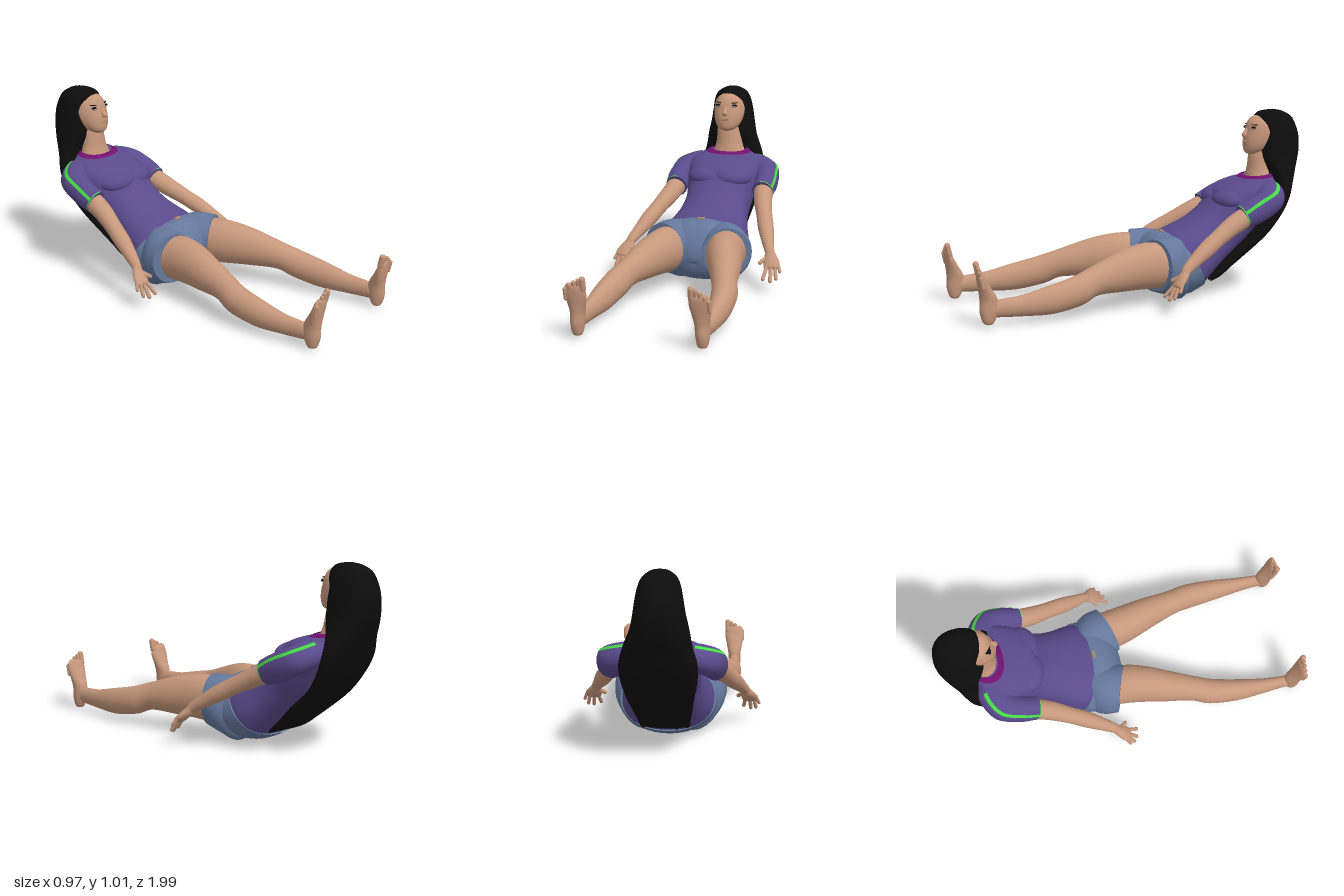
import * as THREE from 'three';

const V = (x, y, z) => new THREE.Vector3(x, y, z);
const mat = (name, color) => new THREE.MeshStandardMaterial({ name, color, side: THREE.DoubleSide });

// A ring is a centre c with two half-axes u and v.
// band: ring across the body between a front and a back point, given as [z, y]
const band = (a, F, B, x = 0) => ({
  c: V(x, (F[1] + B[1]) / 2, (F[0] + B[0]) / 2),
  u: V(a, 0, 0),
  v: V(0, (F[1] - B[1]) / 2, (F[0] - B[0]) / 2),
});

// limb: rings square to a path of [x, y, z, half-width, half-depth]; s mirrors it
function limb(pts, s = 1, ref = V(1, 0, 0)) {
  const P = pts.map(p => V(p[0] * s, p[1], p[2]));
  return pts.map((p, i) => {
    const T = P[Math.min(i + 1, P.length - 1)].clone().sub(P[Math.max(i - 1, 0)]).normalize();
    const u = ref.clone().addScaledVector(T, -ref.dot(T)).normalize();
    const v = T.clone().cross(u);
    return { c: P[i], u: u.multiplyScalar(p[3]), v: v.multiplyScalar(p[4] ?? p[3]) };
  });
}

// Smooth skin over rings; t and th select a patch, twist slants it, grow lifts it, n squares the section
function loft(rings, { t = [0, 1], th = null, twist = 0, grow = 1, n = 2, seg = 32, caps = true } = {}) {
  const curve = k => new THREE.CatmullRomCurve3(rings.map(r => r[k]), false, 'catmullrom', 0.5);
  const C = curve('c'), U = curve('u'), W = curve('v');
  const rows = Math.max(4, Math.round((rings.length - 1) * 6 * (t[1] - t[0])));
  const pw = q => Math.sign(q) * Math.abs(q) ** (2 / n);
  const [a0, a1] = th ?? [0, Math.PI * 2];
  const cols = th ? seg + 1 : seg;
  const pos = [], idx = [];
  const flip = U.getPoint(0.5).cross(W.getPoint(0.5)).dot(C.getPoint(0.55).sub(C.getPoint(0.45))) < 0;
  const tri = (a, b, c) => (flip ? idx.push(a, c, b) : idx.push(a, b, c));
  const addRow = q => {
    const c = C.getPoint(q), u = U.getPoint(q), v = W.getPoint(q);
    for (let j = 0; j < cols; j++) {
      const a = a0 + (a1 - a0) * j / seg + twist * q;
      const p = c.clone().addScaledVector(u, grow * pw(Math.cos(a))).addScaledVector(v, grow * pw(Math.sin(a)));
      pos.push(p.x, p.y, p.z);
    }
    return c;
  };
  for (let i = 0; i <= rows; i++) addRow(t[0] + (t[1] - t[0]) * i / rows);
  for (let i = 0; i < rows; i++) for (let j = 0; j < seg; j++) {
    const a = i * cols + j, b = i * cols + (j + 1) % cols;
    tri(a, b, b + cols);
    tri(a, b + cols, a + cols);
  }
  if (caps && !th) for (const e of [0, 1]) {
    const base = pos.length / 3, c = addRow(t[e]);
    pos.push(c.x, c.y, c.z);
    for (let j = 0; j < seg; j++) {
      const p = base + j, q = base + (j + 1) % seg;
      if (e) tri(base + seg, p, q); else tri(base + seg, q, p);
    }
  }
  const g = new THREE.BufferGeometry();
  g.setAttribute('position', new THREE.Float32BufferAttribute(pos, 3));
  g.setIndex(idx);
  g.computeVertexNormals();
  return g;
}

export function createModel() {
  const model = new THREE.Group();
  model.name = 'recliningWoman';
  const skin = mat('skin', 0xc6977b), hairM = mat('hair', 0x0d0d0d), shirtM = mat('shirt', 0x5a4a8c),
    collarM = mat('collar', 0x72106c), green = mat('trim', 0x44dc44), denim = mat('denim', 0x65789c),
    brass = mat('button', 0xa08468), eyeM = mat('eye', 0x7c8ca8), lipM = mat('lips', 0xb98a70);

  const add = (name, geo, m) => {
    const mesh = new THREE.Mesh(geo, m);
    mesh.name = name;
    model.add(mesh);
    return mesh;
  };
  const blob = (name, m, p, r) => {
    const b = add(name, new THREE.SphereGeometry(1, 32, 20), m);
    b.position.set(...p);
    b.scale.set(...r);
    return b;
  };
  const capsule = (name, m, p, q, r) => {
    const a = V(...p), d = V(...q).sub(a);
    const c = add(name, new THREE.CapsuleGeometry(r, d.length(), 6, 12), m);
    c.position.copy(a).addScaledVector(d, 0.5);
    c.quaternion.setFromUnitVectors(V(0, 1, 0), d.normalize());
  };

  // Shirt body and collar
  const neckline = band(0.13, [-0.648, 0.637], [-0.825, 0.65]);
  add('shirtBody', loft([
    band(0.243, [-0.14, 0.345], [-0.32, 0.04]), band(0.245, [-0.175, 0.362], [-0.36, 0.06]),
    band(0.235, [-0.23, 0.385], [-0.395, 0.095]),
    band(0.202, [-0.33, 0.43], [-0.48, 0.17]), band(0.187, [-0.41, 0.487], [-0.58, 0.25]),
    band(0.197, [-0.468, 0.545], [-0.67, 0.335]), band(0.205, [-0.495, 0.582], [-0.73, 0.41]),
    band(0.212, [-0.55, 0.608], [-0.785, 0.49]), band(0.2, [-0.61, 0.626], [-0.825, 0.58]), neckline,
  ], { n: 2.3, seg: 48 }), shirtM);
  add('collar', loft([neckline, band(0.116, [-0.664, 0.647], [-0.82, 0.662]),
    band(0.1, [-0.679, 0.65], [-0.815, 0.668])], { n: 2.2, grow: 1.02, caps: false }), collarM);

  // Shorts seat, waistband and button
  const seat = [
    band(0.254, [-0.172, 0.366], [-0.365, 0.055]), band(0.262, [-0.125, 0.362], [-0.28, 0.014]),
    band(0.26, [-0.08, 0.335], [-0.18, 0.016]), band(0.2, [-0.04, 0.285], [-0.09, 0.04]),
    band(0.12, [-0.018, 0.235], [-0.045, 0.075]), band(0.05, [-0.01, 0.19], [-0.025, 0.115]),
    band(0.01, [-0.01, 0.16], [-0.02, 0.145]),
  ];
  add('shortsSeat', loft(seat, { n: 2.1, seg: 48 }), denim);
  add('waistband', loft(seat, { n: 2.1, seg: 48, t: [0, 0.07], grow: 1.015, caps: false }), denim);
  const button = add('button', new THREE.BoxGeometry(0.04, 0.008, 0.02), brass);
  button.position.set(0, 0.368, -0.16);
  button.rotation.x = 0.25;

  for (const s of [1, -1]) {
    const side = s > 0 ? 'left' : 'right';
    blob(side + 'Bust', shirtM, [s * 0.072, 0.527, -0.54], [0.118, 0.06, 0.09]).rotation.y = s * 0.12;

    // Sleeve with shoulder stripe and cuff trim
    const sleeve = limb([[0.08, 0.568, -0.745, 0.068, 0.07], [0.17, 0.562, -0.735, 0.07, 0.085],
      [0.235, 0.535, -0.7, 0.075, 0.08], [0.26, 0.497, -0.62, 0.075, 0.068],
      [0.26, 0.457, -0.53, 0.068, 0.062]], s, V(0, 1, 0));
    add(side + 'Sleeve', loft(sleeve), shirtM);
    add(side + 'SleeveStripe', loft(sleeve,
      { t: [0.2, 1], th: [-s * 0.48, -s * 0.22], twist: -s * 0.75, grow: 1.035, seg: 6 }), green);
    add(side + 'CuffTrim', loft(sleeve, { t: [0.985, 1], th: [-s * 2, s * 0.2], grow: 1.015, seg: 20 }), green);

    // Arm and hand
    add(side + 'Arm', loft(limb([[0.258, 0.47, -0.57, 0.056], [0.28, 0.42, -0.46, 0.052],
      [0.313, 0.367, -0.36, 0.045], [0.345, 0.315, -0.27, 0.044], [0.375, 0.265, -0.19, 0.035],
      [0.4, 0.225, -0.13, 0.027], [0.412, 0.2, -0.108, 0.027, 0.02]], s)), skin);
    add(side + 'Palm', loft(limb([[0.395, 0.235, -0.14, 0.018, 0.017], [0.41, 0.2, -0.11, 0.032, 0.023],
      [0.425, 0.168, -0.078, 0.044, 0.02], [0.43, 0.148, -0.058, 0.041, 0.015],
      [0.431, 0.142, -0.053, 0.03, 0.007]], s)), skin);
    const fingers = [
      [[0.459, 0.172, -0.08], [0.477, 0.128, -0.058], 0.009], [[0.447, 0.157, -0.065], [0.461, 0.095, -0.032], 0.01],
      [[0.427, 0.15, -0.058], [0.433, 0.085, -0.014], 0.0105], [[0.405, 0.155, -0.06], [0.394, 0.095, -0.006], 0.01],
      [[0.395, 0.195, -0.1], [0.365, 0.168, -0.064], 0.011],
    ];
    for (const [p, q, r] of fingers)
      capsule(side + 'Finger', skin, [p[0] * s, p[1], p[2]], [q[0] * s, q[1], q[2]], r);

    // Shorts leg, flared at a slanted hem
    const hemRing = (x, y, z, ux, uz, vy) => ({ c: V(s * x, y, z), u: V(ux, 0, s * uz), v: V(0, vy, 0) });
    add(side + 'ShortsLeg', loft([hemRing(0.11, 0.165, -0.25, 0.09, 0, 0.12), hemRing(0.125, 0.178, -0.2, 0.13, -0.015, 0.168),
      hemRing(0.155, 0.2, -0.13, 0.138, -0.03, 0.158), hemRing(0.18, 0.215, -0.045, 0.125, -0.045, 0.14)]), denim);

    // Leg
    const sway = 0.01;
    add(side + 'Leg', loft(limb([[0.16, 0.21, -0.12, 0.105, 0.12], [0.172, 0.218, 0, 0.105, 0.125],
      [0.196, 0.215, 0.1, 0.097, 0.117], [0.226, 0.203, 0.2, 0.086, 0.102], [0.266, 0.178, 0.35, 0.068, 0.076],
      [0.295, 0.143, 0.45, 0.068, 0.078], [0.312, 0.114, 0.6, 0.058, 0.073], [0.318, 0.1, 0.75, 0.041, 0.054],
      [0.318, 0.098, 0.85, 0.032, 0.047], [0.318, 0.095, 0.92, 0.03, 0.04]], s)), skin).position.x = sway;

    // Foot standing on its heel, and toes
    add(side + 'Foot', loft(limb([[0.32, 0.019, 0.93, 0.008, 0.008], [0.32, 0.03, 0.93, 0.025, 0.027],
      [0.32, 0.08, 0.926, 0.035, 0.046], [0.318, 0.14, 0.926, 0.038, 0.046], [0.317, 0.19, 0.942, 0.047, 0.034],
      [0.316, 0.24, 0.958, 0.056, 0.024], [0.316, 0.277, 0.967, 0.052, 0.017],
      [0.314, 0.295, 0.97, 0.038, 0.008]], s)), skin).position.x = sway;
    for (let i = 0; i < 5; i++) {
      const x = s * (0.274 + i * 0.0225) + sway, tip = 0.322 - i * 0.004 - i * i * 0.0025;
      capsule(side + 'Toe', skin, [x, tip - 0.05, 0.965], [x, tip, 0.976], i ? 0.0105 : 0.0155);
    }
  }

  // Neck and head
  const hx = -0.008;
  add('neck', loft([band(0.095, [-0.682, 0.625], [-0.82, 0.645]), band(0.076, [-0.698, 0.69], [-0.83, 0.71], hx / 2),
    band(0.07, [-0.71, 0.77], [-0.85, 0.79], hx), band(0.068, [-0.74, 0.83], [-0.86, 0.83], hx)]), skin);
  add('head', loft([
    [0.766, 0.015, -0.705, -0.75], [0.773, 0.036, -0.688, -0.78], [0.79, 0.06, -0.675, -0.82], [0.82, 0.079, -0.672, -0.86],
    [0.86, 0.09, -0.675, -0.9], [0.9, 0.092, -0.685, -0.92], [0.94, 0.083, -0.695, -0.92], [0.97, 0.063, -0.715, -0.91],
    [0.986, 0.04, -0.75, -0.88], [0.993, 0.015, -0.8, -0.86],
  ].map(([y, a, f, b]) => band(a, [f, y], [b, y], hx)), { n: 2.1, seg: 40 }), skin);

  // Face
  add('nose', loft(limb([[hx, 0.92, -0.702, 0.008], [hx, 0.897, -0.686, 0.011, 0.012], [hx, 0.876, -0.671, 0.016, 0.014],
    [hx, 0.864, -0.674, 0.012, 0.009]]), { seg: 16 }), skin);
  for (const y of [0.8425, 0.8355]) blob('lip', lipM, [hx, y, -0.675], [0.024, 0.0045, 0.006]);
  for (const s of [1, -1]) {
    blob('eyelash', hairM, [hx + s * 0.045, 0.919, -0.706], [0.021, 0.0075, 0.0095]);
    blob('eye', eyeM, [hx + s * 0.045, 0.9145, -0.704], [0.018, 0.0065, 0.0095]);
    blob('eyebrow', hairM, [hx + s * 0.047, 0.935, -0.712], [0.023, 0.0025, 0.01]).rotation.y = s * 0.5;
  }

  // Long hair, from the crown down over the back
  add('hair', loft([
    band(0.012, [-0.83, 1.016], [-0.86, 1.016], hx), band(0.05, [-0.768, 1.005], [-0.91, 1.004], hx),
    band(0.086, [-0.742, 0.978], [-0.955, 0.975], hx), band(0.104, [-0.736, 0.94], [-0.98, 0.93], hx),
    band(0.115, [-0.742, 0.89], [-0.997, 0.87], hx), band(0.127, [-0.74, 0.82], [-0.997, 0.79], hx),
    band(0.144, [-0.748, 0.745], [-0.975, 0.71], hx), band(0.168, [-0.785, 0.66], [-0.935, 0.63], 0),
    band(0.192, [-0.795, 0.57], [-0.89, 0.53], 0), band(0.188, [-0.765, 0.48], [-0.835, 0.43], 0),
    band(0.168, [-0.685, 0.375], [-0.75, 0.315], 0), band(0.148, [-0.55, 0.26], [-0.605, 0.195], 0),
    band(0.13, [-0.445, 0.15], [-0.485, 0.11], 0),
  ], { n: 2.3, seg: 48 }), hairM);
  for (let i = 0; i < 9; i++) {
    const x = (i - 4) * 0.028, d = 0.015 * Math.sin(i * 2.3);
    add('hairStrand', loft(limb([[x, 0.2, -0.55, 0.022, 0.022], [x, 0.13, -0.465, 0.02, 0.018],
      [x * 1.03, 0.098 + d, -0.415 - d, 0.006, 0.006]]), { seg: 10 }), hairM);
  }
  return model;
}
